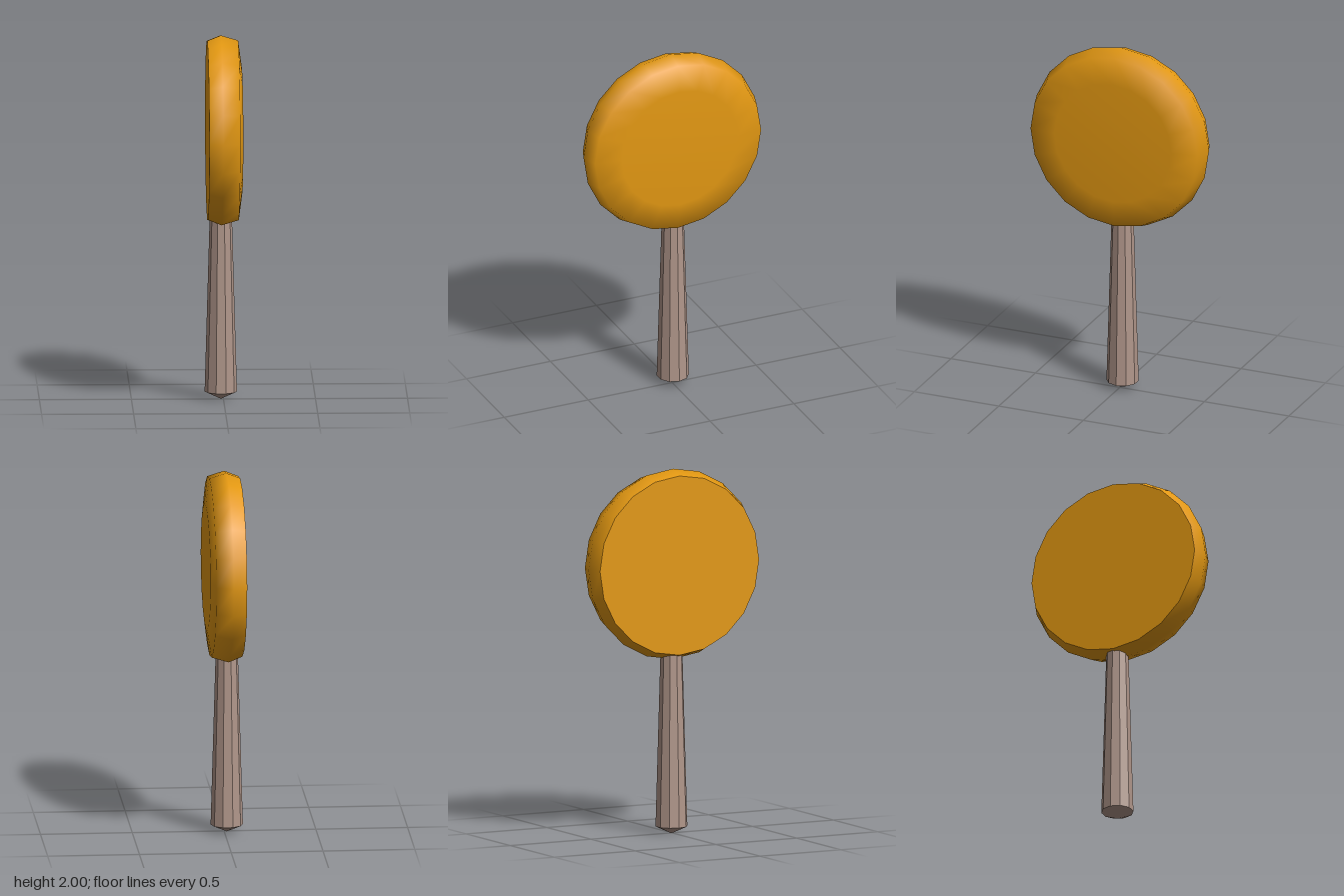
import * as THREE from 'three';

const lathe = (points, sides, start = 0) =>
  new THREE.LatheGeometry(points.map(([r, h]) => new THREE.Vector2(r, h)), sides, start);

export function createModel() {
  const group = new THREE.Group();
  const orange = new THREE.MeshStandardMaterial({ color: 0xe39812 });
  const wood = new THREE.MeshStandardMaterial({ color: 0xb0968a, flatShading: true });

  // Round head: its axis lies along x, with a domed face to +x and a flat one to -x
  const head = new THREE.Group();
  head.name = 'head';
  const dome = new THREE.Mesh(
    lathe([[0.492, -0.088], [0.522, -0.013], [0.494, 0.08], [0.345, 0.1], [0, 0.1]], 20), orange);
  dome.name = 'domedFace';
  // Separate cap keeps the rim of the flat face sharp
  const cap = new THREE.Mesh(lathe([[0, -0.088], [0.492, -0.088]], 20), orange);
  cap.name = 'flatFace';
  head.add(dome, cap);
  head.rotation.z = -Math.PI / 2;
  head.position.y = 1.478;
  group.add(head);

  // Ten-sided handle, widening downwards to a shallow pointed butt
  const handle = new THREE.Mesh(
    lathe([[0, 0], [0.088, 0.04], [0.06, 1.02], [0, 1.02]], 10, Math.PI / 2), wood);
  handle.name = 'handle';
  handle.position.set(-0.014, 0, -0.01);
  group.add(handle);

  return group;
}
